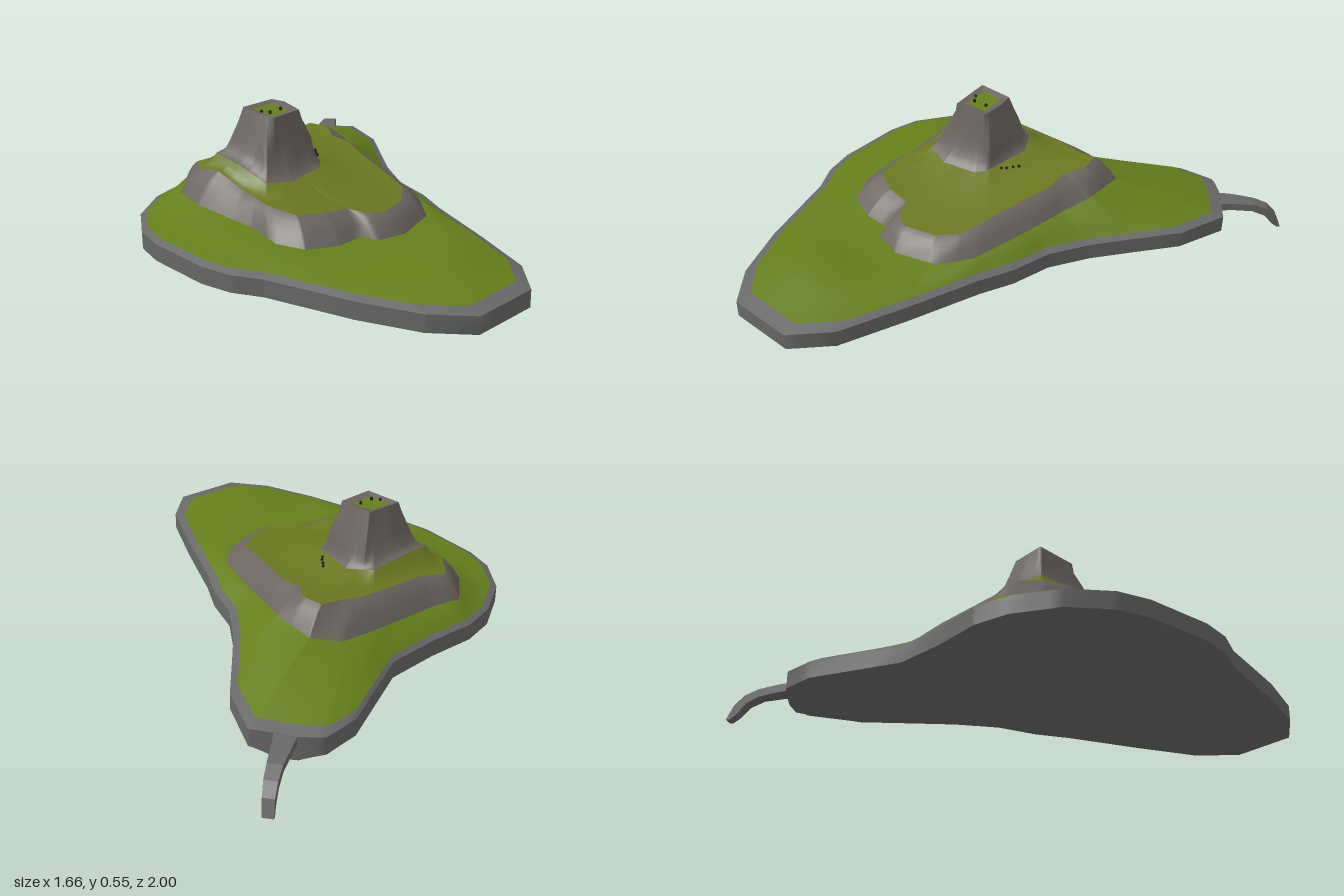
import * as THREE from 'three';

// All terrain rings are star-shaped around the tower's axis.
const CX = -0.25, CZ = -0.24;
const angleOf = (x, z) => Math.atan2(z - CZ, x - CX);

// Coastline as [x, z]
const coast = [
  [-0.41, 1], [-0.13, 1], [0, 0.86], [0.1, 0.59], [0.2, 0.29], [0.26, 0.15], [0.3, -0.02],
  [0.39, -0.18], [0.5, -0.33], [0.62, -0.49], [0.69, -0.7], [0.58, -0.84], [0.51, -0.9],
  [0.36, -0.88], [0.02, -0.69], [-0.2, -0.67], [-0.4, -0.67], [-0.54, -0.63], [-0.7, -0.52],
  [-0.8, -0.37], [-0.83, -0.24], [-0.83, 0.04], [-0.8, 0.17], [-0.74, 0.28], [-0.63, 0.63], [-0.53, 0.86],
];
// Terrace and tower rings as [x, y, z]
const cliffBase = [
  [-0.42, 0.2, -0.58], [-0.3, 0.2, -0.56], [0, 0.21, -0.57], [0.17, 0.22, -0.57], [0.27, 0.24, -0.5],
  [0.28, 0.25, -0.32], [0.23, 0.22, -0.18], [0.19, 0.2, 0], [0.13, 0.18, 0.24], [0.04, 0.17, 0.36],
  [-0.14, 0.165, 0.41], [-0.26, 0.165, 0.38], [-0.28, 0.17, 0.32], [-0.4, 0.17, 0.32], [-0.52, 0.175, 0.27],
  [-0.57, 0.18, 0.16], [-0.55, 0.19, 0], [-0.57, 0.2, -0.3], [-0.54, 0.2, -0.46],
];
const cliffTop = [
  [-0.41, 0.29, -0.51], [-0.3, 0.3, -0.48], [0, 0.31, -0.48], [0.1, 0.32, -0.46], [0.18, 0.33, -0.46],
  [0.2, 0.33, -0.37], [0.15, 0.32, -0.29], [0.16, 0.31, -0.2], [0.12, 0.29, -0.06], [0.08, 0.27, 0.1],
  [0.05, 0.25, 0.22], [-0.03, 0.24, 0.29], [-0.17, 0.24, 0.33], [-0.24, 0.245, 0.29], [-0.26, 0.25, 0.22],
  [-0.37, 0.26, 0.21], [-0.47, 0.265, 0.16], [-0.49, 0.27, 0.02], [-0.47, 0.28, -0.15], [-0.47, 0.32, -0.3], [-0.47, 0.3, -0.42],
];
const towerFoot = [
  [-0.41, 0.36, -0.38], [-0.3, 0.37, -0.4], [-0.12, 0.35, -0.4], [-0.07, 0.33, -0.3], [-0.1, 0.32, -0.1],
  [-0.14, 0.31, -0.06], [-0.3, 0.3, -0.04], [-0.41, 0.31, -0.08], [-0.42, 0.35, -0.22],
];
const towerMid = [
  [-0.36, 0.43, -0.34], [-0.25, 0.43, -0.35], [-0.13, 0.43, -0.34], [-0.115, 0.42, -0.24],
  [-0.12, 0.42, -0.13], [-0.25, 0.41, -0.11], [-0.36, 0.42, -0.13],
];
const towerTop = [
  [-0.32, 0.55, -0.31], [-0.17, 0.55, -0.31], [-0.155, 0.55, -0.25], [-0.165, 0.54, -0.15], [-0.31, 0.54, -0.14],
];
const lift = (ring, y) => ring.map(([x, z]) => [x, y, z]);
const scaleRing = (ring, s, dy) => ring.map(([x, y, z]) => [CX + (x - CX) * s, y + dy, CZ + (z - CZ) * s]);

// Common set of ray angles: every corner of every ring
const angles = [...lift(coast, 0), ...cliffBase, ...cliffTop, ...towerFoot, ...towerMid, ...towerTop]
  .map(([x, , z]) => angleOf(x, z)).sort((a, b) => a - b)
  .filter((a, i, all) => i === 0 || a - all[i - 1] > 0.004);

// Cut a ring with each ray so that all rings share the same point count
function resample(ring) {
  return angles.map((a) => {
    const dx = Math.cos(a), dz = Math.sin(a);
    let best = null;
    ring.forEach((p, i) => {
      const q = ring[(i + 1) % ring.length];
      const sp = dx * (p[2] - CZ) - dz * (p[0] - CX);
      const sq = dx * (q[2] - CZ) - dz * (q[0] - CX);
      if (sp * sq > 1e-12 || sp === sq) return;
      const t = THREE.MathUtils.clamp(sp / (sp - sq), 0, 1);
      const v = p.map((c, k) => c + (q[k] - c) * t);
      const d = (v[0] - CX) * dx + (v[2] - CZ) * dz;
      if (d > 0 && (!best || d > best.d)) best = { d, v };
    });
    return best.v;
  });
}

// Rings between two rings, shaped by an optional height rule
function between(a, b, steps, rule = () => 0) {
  return Array.from({ length: steps + 1 }, (_, s) => a.map((p, i) => {
    const t = s / steps;
    const [x, y, z] = p.map((c, k) => c + (b[i][k] - c) * t);
    return [x, y + rule(x, z, t), z];
  }));
}

// Skin closed rings, ordered from outside/below to inside/above
function loft(rings) {
  const n = rings[0].length, index = [];
  for (let r = 0; r < rings.length - 1; r++) {
    for (let i = 0; i < n; i++) {
      const j = (i + 1) % n, a = r * n + i, b = r * n + j;
      index.push(a, a + n, b, b, a + n, b + n);
    }
  }
  const g = new THREE.BufferGeometry();
  g.setAttribute('position', new THREE.Float32BufferAttribute(rings.flat(2), 3));
  g.setIndex(index);
  g.computeVertexNormals();
  return g;
}

const bump = (x, z, bx, bz, rx, rz) => Math.exp(-(((x - bx) / rx) ** 2) - ((z - bz) / rz) ** 2);

export function createModel() {
  const group = new THREE.Group();
  const material = (color) => new THREE.MeshStandardMaterial({ color, roughness: 1 });
  const grass = material(0x647f1a), meadow = material(0x69781f), rock = material(0x6b6460);
  const stone = material(0x686868), dark = material(0x222222);
  const add = (name, geometry, mat) => {
    const mesh = new THREE.Mesh(geometry, mat);
    mesh.name = name;
    group.add(mesh);
    return mesh;
  };

  const low = resample(lift(coast, 0.065));
  const edge = resample(lift(coast, 0.135));
  const rim = scaleRing(edge, 0.95, 0.012);
  const base = resample(cliffBase), top = resample(cliffTop), foot = resample(towerFoot);
  const mid = resample(towerMid), peak = resample(towerTop);
  const lip = scaleRing(peak, 0.65, -0.008);
  const centre = (y) => angles.map(() => [CX, y, CZ]);

  // Flat underside with a small keel below the narrow end
  const keel = (x, z) => -0.04 * bump(x, z, 0.59, -0.79, 0.08, 0.09);
  const under = between(centre(0.065), low, 10, keel);
  add('underside', loft(under), stone);
  add('shoreWall', loft([under[10], edge]), stone);
  add('shoreRim', loft([edge, rim]), stone);

  // Grass slope with a hummock at the front and gentle ripples
  const hills = (x, z, t) => Math.sin(Math.PI * t) * (
    0.035 * bump(x, z, -0.33, 0.72, 0.22, 0.2) - 0.012 * bump(x, z, -0.2, 0.47, 0.3, 0.08)
    + 0.006 * Math.sin(9 * x + 4 * z));
  add('grassSlope', loft(between(rim, base, 8, hills)), grass);

  // Rocky terrace and the meadow on top of it
  add('cliff', loft(between(base, top, 3, (x, z, t) => 0.015 * Math.sin(Math.PI * t))), rock);
  add('plateau', loft(between(top, foot, 5, (x, z, t) => -0.012 * Math.sin(Math.PI * t))), meadow);

  // Rock tower with a grassy summit
  add('rockTower', loft([
    ...between(foot, mid, 4, (x, z, t) => -0.02 * Math.sin(Math.PI * t)),
    ...between(mid, peak, 2).slice(1),
  ]), rock);
  add('summitRim', loft([peak, lip]), rock);
  add('summitGrass', loft([lip, centre(0.535)]), grass);

  // Curved tail: rectangular sections [x, z, top y, half width, thickness]
  const tail = [
    [0.58, -0.78, 0.135, 0.045, 0.035], [0.65, -0.84, 0.132, 0.036, 0.033], [0.72, -0.896, 0.122, 0.028, 0.032],
    [0.765, -0.934, 0.1, 0.025, 0.035], [0.795, -0.962, 0.06, 0.022, 0.04], [0.813, -0.982, 0.0, 0.021, 0.0],
  ].map(([x, z, y, w, h], i) => {
    const back = i * 0.003, sx = 0.65, sz = 0.76; // sideways direction
    const corner = (s, yy, b) => [x + s * w * sx - b * 0.76, yy, z + s * w * sz + b * 0.65];
    return [corner(1, y, 0), corner(-1, y, 0), corner(-1, y - h, back), corner(1, y - h, back)];
  });
  const tailGeometry = loft([tail[0].map(() => [0.58, 0.11, -0.78]), ...tail, tail[5].map(() => [0.803, 0, -0.973])]);
  const flat = tailGeometry.toNonIndexed();
  flat.computeVertexNormals();
  const tailMat = material(0x686868);
  tailMat.side = THREE.DoubleSide;
  add('tail', flat, tailMat);

  // Tiny posts beside the tower and on the summit
  const posts = [[-0.07, -0.15, 0.315], [-0.055, -0.165, 0.315], [-0.04, -0.19, 0.315], [-0.025, -0.21, 0.315],
    [-0.29, -0.235, 0.54], [-0.27, -0.205, 0.54], [-0.21, -0.21, 0.54]];
  posts.forEach(([x, z, y]) => add('post', new THREE.BoxGeometry(0.008, 0.014, 0.008), dark).position.set(x, y, z));

  return group;
}
